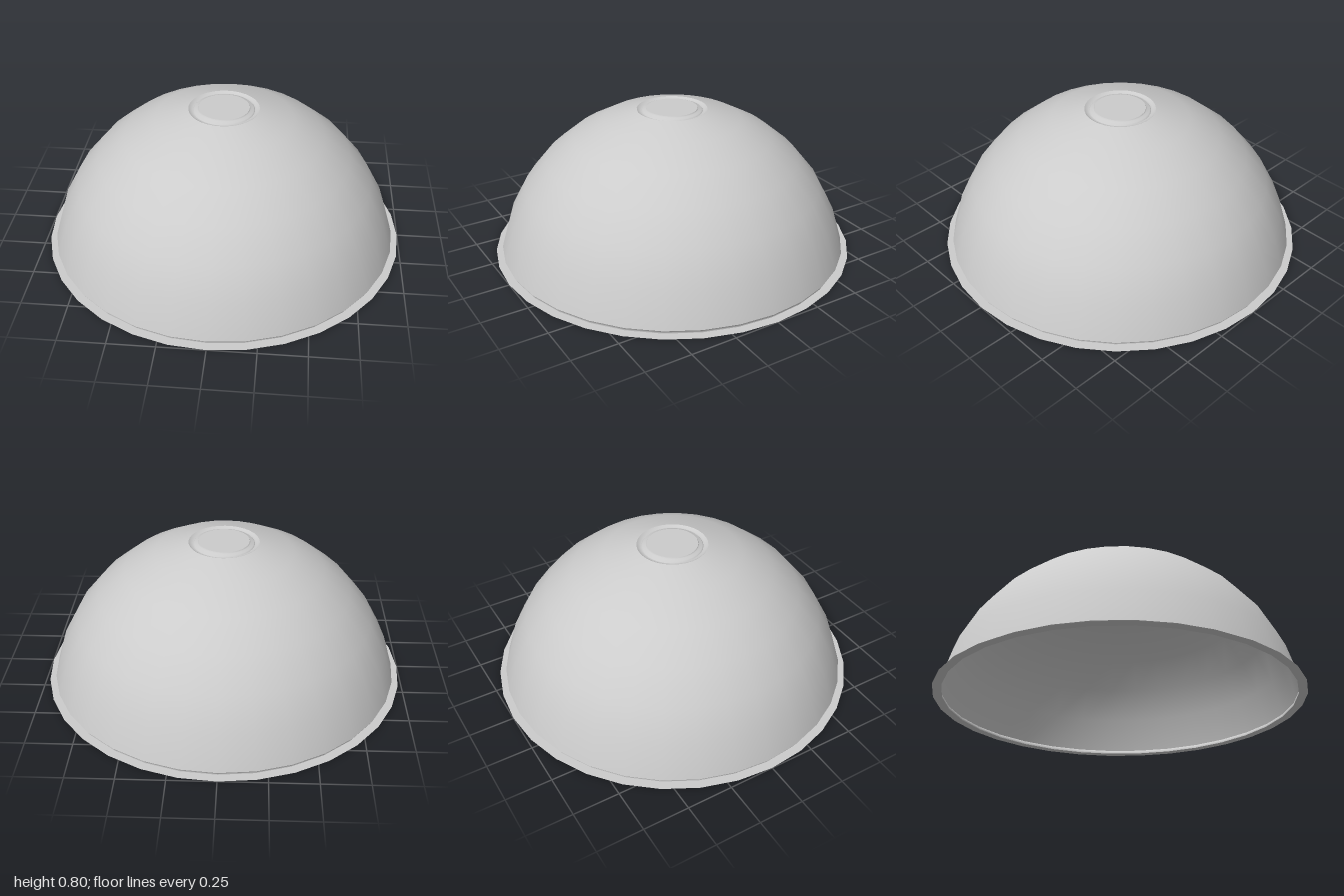
import * as THREE from 'three';

const SIDES = 32;

// Open lathe mesh from [radius, height] pairs
function lathe(name, points, material) {
  const profile = points.map(([r, y]) => new THREE.Vector2(r, y));
  const mesh = new THREE.Mesh(new THREE.LatheGeometry(profile, SIDES), material);
  mesh.name = name;
  return mesh;
}

export function createModel() {
  const model = new THREE.Group();
  model.name = 'domeShade';
  const material = new THREE.MeshStandardMaterial({ color: 0xcccccc, side: THREE.DoubleSide });

  // Dome: sphere bands of 11.25 degrees, from the lower edge to the crown opening
  const radius = 0.983, centreY = -0.17, step = Math.PI / 16;
  const arc = [];
  for (let i = 7; i >= 1; i--) {
    arc.push([radius * Math.sin(i * step), centreY + radius * Math.cos(i * step)]);
  }
  model.add(lathe('dome', arc, material));

  // Rim: short inward lip below the dome and a thin flat flange
  model.add(lathe('rimLip', [[0.952, 0.004], [0.954, 0.015], arc[0]], material));
  model.add(lathe('rimFlange', [[1, 0], [0.952, 0.004]].map(([r]) => [r, 0]), material));
  model.add(lathe('rimJoint', [[0.952, 0], [0.952, 0.004]], material));

  // Crown: shallow groove, then a low flat cap
  model.add(lathe('crownGroove', [arc[6], [0.178, 0.784], [0.166, 0.784]], material));
  model.add(lathe('capWall', [[0.166, 0.784], [0.16, 0.791], [0.142, 0.793], [0.138, 0.8]], material));
  model.add(lathe('capTop', [[0.138, 0.8], [0, 0.8]], material));

  return model;
}
